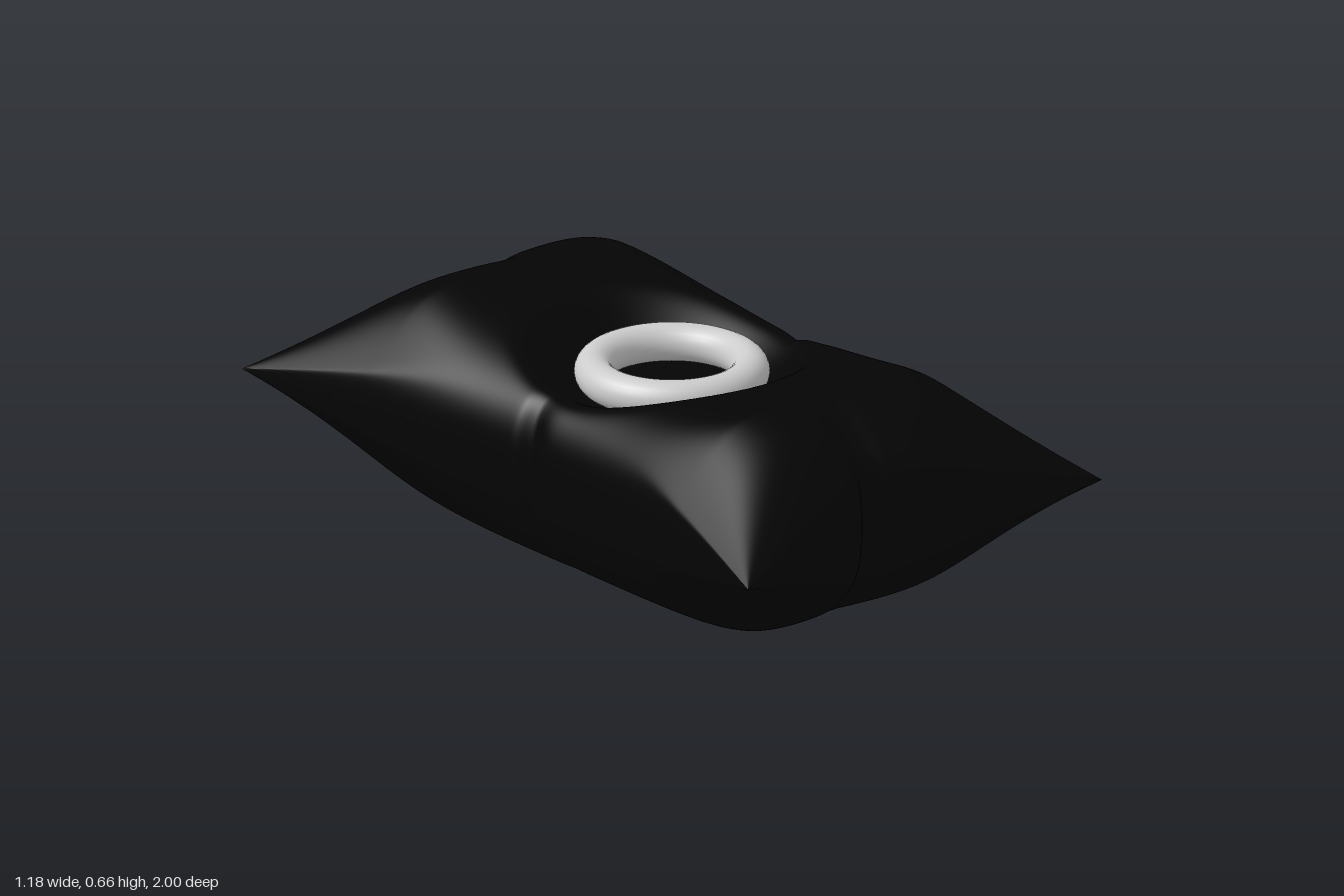
import * as THREE from 'three';

const SEAM_Y = 0.385;
const bell = (d, w) => Math.exp(-((d / w) ** 2));
// steep-shouldered inflation profile: 1 in the middle, 0 at the seam
const puff = (t, p, q) => Math.max(0, 1 - Math.abs(t) ** p) ** q;
// asymmetric pinch: abrupt on one side, gradual on the other
const pinch = d => bell(d, d > 0 ? 0.018 : 0.055);
// rounded minimum of several heights; a higher n is sharper
const softMin = (n, ...h) => h.reduce((s, v) => s + Math.max(v, 1e-5) ** -n, 0) ** (-1 / n);
// body height limited by the two tapers that form the corner cones
const taper = (body, a, b) => softMin(10, body, a, b, 1.05 * softMin(2, a, b));

// Maps sheet parameters (u, v in -1..1) to a point on the cushion
function cushionPoint(u, v, top, target) {
  // concave outline with drawn-out corners
  let x = u * (0.452 + 0.138 * Math.abs(v) ** 1.7);
  let z = v * (0.84 + 0.16 * Math.abs(u) ** 1.15);
  const az = Math.abs(z);
  const tx = 0.59 - Math.abs(x), tz = 1 - az;
  const fill = puff(u, 4, 0.42) * puff(v, 5, 0.4);

  let y;
  if (top) {
    const rise = Math.min(az / 0.6, 1) ** 3;
    const body = fill * (0.225 + 0.067 * rise);
    y = SEAM_Y + taper(body, tx + 0.5 * tx * tx, 0.85 * tz + 0.5 * tz * tz);
    // hollow beneath the ring
    y -= 0.13 * Math.exp(-((Math.hypot(x, z) / 0.33) ** 6));
  } else {
    const body = fill * SEAM_Y * (1 - 0.14 * v * v) * (1 - 0.12 * u * u);
    y = SEAM_Y - taper(body, tx + 1.4 * tx * tx, 0.9 * tz + 1.2 * tz * tz);
  }

  // pinched folds halfway along each edge
  const su = Math.sign(u), sv = Math.sign(v);
  const sideFold = pinch(su * z - 0.055) * Math.abs(u) ** 5;
  const endFold = pinch(-(sv * x + 0.06)) * Math.abs(v) ** 7;
  x -= su * 0.025 * sideFold;
  z -= sv * 0.028 * endFold;
  if (top) y -= 0.015 * fill * (sideFold + endFold);
  target.set(x, y, z);
}

function cushionSheet(top) {
  const g = new THREE.PlaneGeometry(2, 2, 120, 180);
  g.rotateX(top ? -Math.PI / 2 : Math.PI / 2);
  const pos = g.attributes.position;
  const p = new THREE.Vector3();
  for (let i = 0; i < pos.count; i++) {
    // sine spacing gathers rows toward the steep edges
    const u = Math.sin(pos.getX(i) * Math.PI / 2);
    const v = Math.sin(pos.getZ(i) * Math.PI / 2);
    cushionPoint(u, v, top, p);
    pos.setXYZ(i, p.x, p.y, p.z);
  }
  g.computeVertexNormals();
  return g;
}

export function createModel() {
  const model = new THREE.Group();
  model.name = 'cushionWithRing';

  const fabric = new THREE.MeshStandardMaterial({ color: 0x040404, side: THREE.DoubleSide });
  const grey = new THREE.MeshStandardMaterial({ color: 0xcccccc });

  // Cushion: two sheets meeting at the seam
  const cushion = new THREE.Group();
  cushion.name = 'cushion';
  for (const top of [true, false]) {
    const sheet = new THREE.Mesh(cushionSheet(top), fabric);
    sheet.name = top ? 'cushionTop' : 'cushionBottom';
    cushion.add(sheet);
  }
  model.add(cushion);

  // Ring resting in the hollow
  const ring = new THREE.Mesh(new THREE.TorusGeometry(0.2, 0.05, 24, 72), grey);
  ring.name = 'ring';
  ring.rotation.x = -Math.PI / 2;
  ring.position.y = 0.533;
  model.add(ring);

  return model;
}
